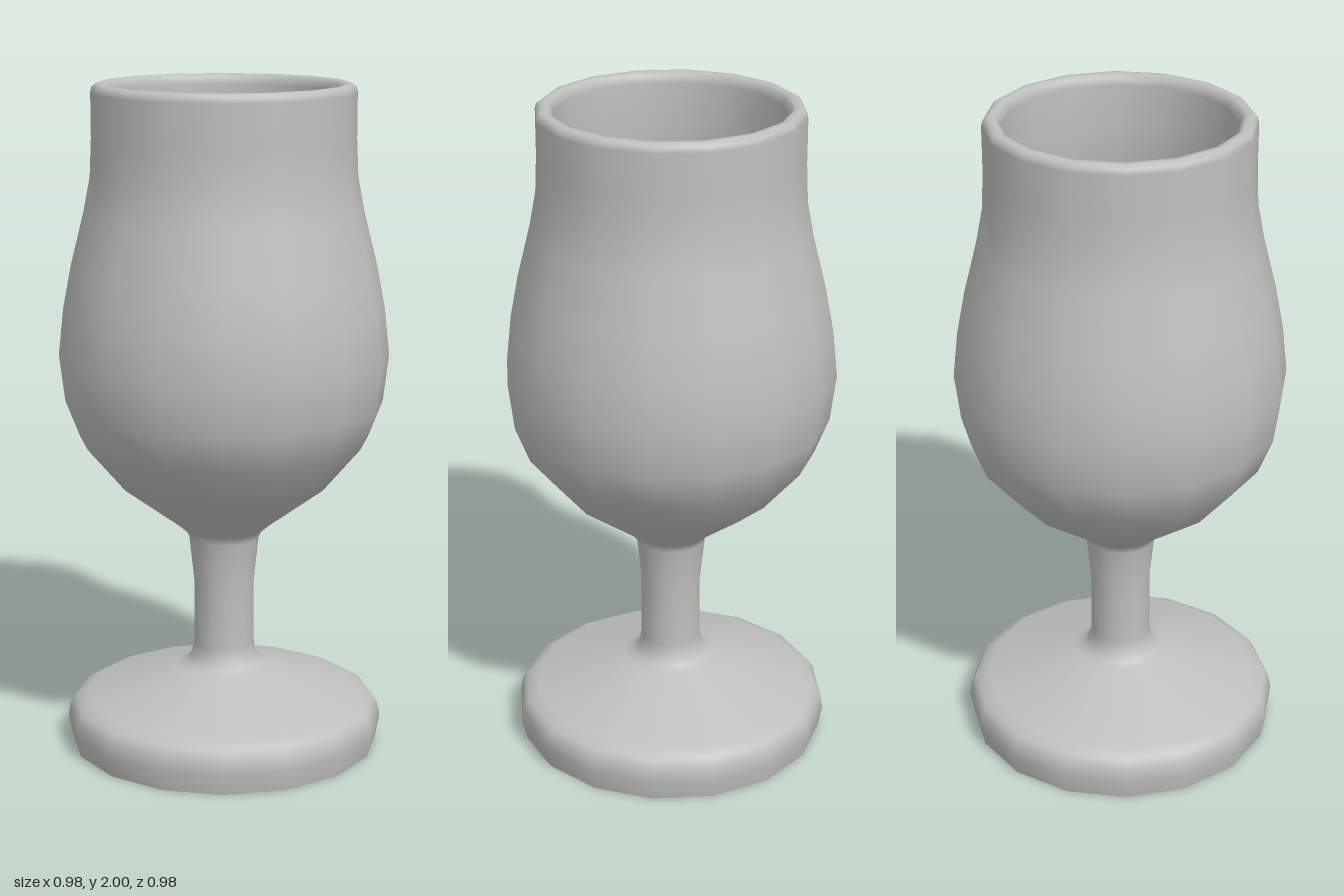
import * as THREE from 'three';

const SIDES = 16;

export function createModel() {
  const group = new THREE.Group();
  group.name = 'stemGlass';
  const grey = new THREE.MeshStandardMaterial({ color: 0xbfbfbf });
  grey.name = 'plain grey';

  // Turns a [radius, height] profile around the y axis
  const turned = (name, profile) => {
    const points = profile.map(([r, y]) => new THREE.Vector2(r, y));
    const mesh = new THREE.Mesh(new THREE.LatheGeometry(points, SIDES), grey);
    mesh.name = name;
    group.add(mesh);
  };

  // Foot, stem, bowl and rim, then down the inner wall to the bowl's floor
  turned('glassBody', [
    // foot
    [0.467, 0], [0.48, 0.065], [0.473, 0.105], [0.458, 0.13], [0.42, 0.15],
    [0.145, 0.238], [0.115, 0.25],
    // stem
    [0.098, 0.275], [0.091, 0.31], [0.09, 0.5], [0.105, 0.64], [0.118, 0.665],
    // bowl outside
    [0.147, 0.69], [0.315, 0.815], [0.43, 0.95], [0.473, 1.06], [0.49, 1.2],
    [0.475, 1.34], [0.45, 1.47], [0.41, 1.63], [0.391, 1.73], [0.386, 1.84],
    // rim
    [0.386, 1.975], [0.382, 1.99], [0.37, 2], [0.352, 2], [0.34, 1.99], [0.335, 1.97],
    // bowl inside
    [0.333, 1.84], [0.338, 1.73], [0.36, 1.63], [0.4, 1.47], [0.425, 1.34],
    [0.44, 1.2], [0.425, 1.08], [0.385, 0.98], [0.285, 0.86], [0.14, 0.765], [0, 0.74],
  ]);

  // Flat underside of the foot
  const underside = new THREE.Mesh(new THREE.CircleGeometry(0.467, SIDES), grey);
  underside.name = 'footUnderside';
  underside.rotation.x = Math.PI / 2;
  group.add(underside);

  return group;
}
